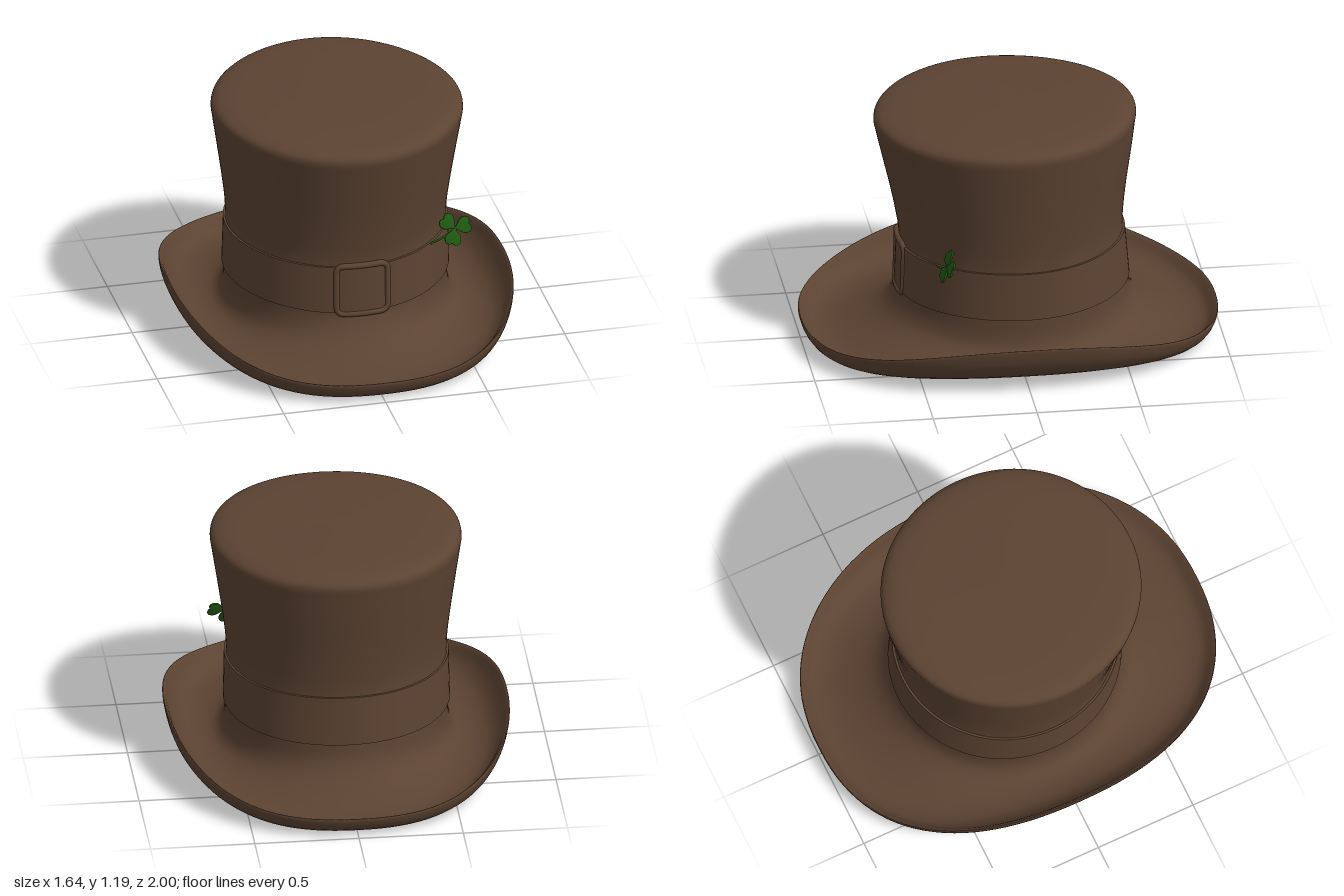
import * as THREE from 'three';
import { toCreasedNormals } from 'three/addons/utils/BufferGeometryUtils.js';

const SIDES = 112;

// Point on an oval ring at angle a (0 = front, PI/2 = left side).
function ringPoint(r, a) {
  const s = Math.sin(a), c = Math.cos(a);
  const bulge = (v) => Math.sign(v) * Math.abs(v) ** (2 / (2 + 0.25 * r.k));
  const x = r.rx * bulge(s);
  const z = (r.zf + r.zb) / 2 + ((r.zf - r.zb) / 2) * bulge(c);
  const end = (r.yF + r.yB) / 2 + ((r.yF - r.yB) / 2) * c;
  const y = end + (r.yS - end) * Math.abs(s) ** (2 + 1.5 * r.k);
  return new THREE.Vector3(x, y, z);
}

// Skin a list of rings; steps > 1 rounds the profile with a spline.
function loft(rings, steps) {
  const count = (rings.length - 1) * steps + 1;
  const pos = [], index = [];
  for (let j = 0; j < SIDES; j++) {
    const pts = rings.map((r) => ringPoint(r, (j / SIDES) * Math.PI * 2));
    const line = steps > 1 ? new THREE.CatmullRomCurve3(pts).getPoints(count - 1) : pts;
    line.forEach((p) => pos.push(p.x, p.y, p.z));
  }
  for (let j = 0; j < SIDES; j++) {
    const a = j * count, b = ((j + 1) % SIDES) * count;
    for (let i = 0; i < count - 1; i++) {
      index.push(a + i, a + i + 1, b + i, b + i, a + i + 1, b + i + 1);
    }
  }
  const geo = new THREE.BufferGeometry();
  geo.setAttribute('position', new THREE.Float32BufferAttribute(pos, 3));
  geo.setIndex(index);
  geo.computeVertexNormals();
  return geo;
}

// Crown ring: tilted slightly so the back is higher than the front.
const crownRing = ([rx, zf, zb, y, tilt]) =>
  ({ rx, zf, zb, yS: y, yF: y - tilt, yB: y + tilt, k: 0 });

// Brim ring: side height differs from front/back height.
const brimRing = ([rx, zf, zb, yS, yF]) =>
  ({ rx, zf, zb, yS, yF, yB: yF, k: THREE.MathUtils.clamp((rx - 0.54) / 0.26, 0, 1) });

function makeMesh(name, geo, mat) {
  const m = new THREE.Mesh(geo, mat);
  m.name = name;
  return m;
}

export function createModel() {
  const hat = new THREE.Group();
  hat.name = 'topHat';
  const felt = new THREE.MeshStandardMaterial({ color: 0x5c4332 });
  const green = new THREE.MeshStandardMaterial({ color: 0x1f5a12 });

  // Crown profile: half width, front z, back z, height, tilt
  const crown = [
    [0.0, 0.015, 0.015, 1.19, 0],
    [0.3, 0.33, -0.3, 1.183, 0.008],
    [0.5, 0.535, -0.505, 1.17, 0.014],
    [0.565, 0.605, -0.573, 1.156, 0.015],
    [0.593, 0.635, -0.603, 1.137, 0.015],
    [0.6, 0.643, -0.611, 1.112, 0.015],
    [0.595, 0.635, -0.606, 1.07, 0.015],
    [0.575, 0.605, -0.59, 0.94, 0.015],
    [0.55, 0.565, -0.566, 0.77, 0.015],
    [0.531, 0.535, -0.55, 0.62, 0.015],
    [0.526, 0.523, -0.546, 0.53, 0.015],
    [0.529, 0.529, -0.558, 0.38, 0.014],
    [0.531, 0.537, -0.572, 0.255, 0.01],
  ];
  // Brim profile: half width, front z, back z, side height, end height
  const brim = [
    [0.535, 0.55, -0.583, 0.18, 0.21],
    [0.552, 0.575, -0.607, 0.125, 0.168],
    [0.59, 0.625, -0.652, 0.092, 0.122],
    [0.66, 0.73, -0.745, 0.085, 0.07],
    [0.735, 0.85, -0.855, 0.118, 0.037],
    [0.785, 0.935, -0.94, 0.18, 0.05],
    [0.81, 0.985, -0.985, 0.237, 0.095],
    [0.82, 0.998, -0.998, 0.243, 0.104],
    [0.821, 1.0, -1.0, 0.226, 0.09],
    [0.8, 0.972, -0.972, 0.15, 0.035],
    [0.75, 0.9, -0.9, 0.082, 0.003],
    [0.66, 0.78, -0.785, 0.042, 0.014],
    [0.59, 0.66, -0.685, 0.052, 0.065],
    [0.54, 0.575, -0.6, 0.085, 0.125],
    [0.517, 0.533, -0.567, 0.15, 0.185],
  ];
  // Lining: the crown profile again, thinner and turned inward
  const lining = crown.map(([rx, zf, zb, y, t]) => [
    Math.max(0, rx - 0.02),
    rx ? zf - 0.02 : zf,
    rx ? zb + 0.02 : zb,
    y > 0.9 ? y - 0.02 : y,
    t,
  ]).reverse();
  const shell = [...crown.map(crownRing), ...brim.map(brimRing), ...lining.map(crownRing)];
  hat.add(makeMesh('crownAndBrim', loft(shell, 3), felt));

  // Hat band
  const band = [
    [0.522, 0.52, -0.545, 0.512, 0.014],
    [0.536, 0.535, -0.558, 0.512, 0.014],
    [0.541, 0.544, -0.579, 0.272, 0.012],
    [0.525, 0.53, -0.565, 0.272, 0.012],
  ].map(crownRing);
  hat.add(makeMesh('hatBand', toCreasedNormals(loft(band, 1), 0.6), felt));

  // Buckle: rounded square frame wrapped around the front of the band
  const h = 0.125, q = 0.085, frame = new THREE.Shape();
  for (let i = 0; i < 4; i++) {
    const turn = (x, y) => [[x, y], [-y, x], [-x, -y], [y, -x]][i];
    if (i === 0) frame.moveTo(...turn(h, -q));
    frame.lineTo(...turn(h, q));
    frame.quadraticCurveTo(...turn(h, h), ...turn(q, h));
  }
  frame.closePath();
  const path = frame.getSpacedPoints(72).slice(0, -1).map((p) =>
    new THREE.Vector3(p.x, p.y + 0.378, (0.535 - 0.03 * p.y) * Math.sqrt(1 - (p.x / 0.54) ** 2)));
  const loop = new THREE.CatmullRomCurve3(path, true);
  hat.add(makeMesh('buckle', new THREE.TubeGeometry(loop, 120, 0.015, 10, true), felt));

  // Clover: three heart-shaped leaves and a stem tucked behind the band
  const clover = new THREE.Group();
  clover.name = 'clover';
  const heart = new THREE.Shape();
  heart.moveTo(0, 0);
  heart.bezierCurveTo(0.012, 0.022, 0.038, 0.03, 0.038, 0.055);
  heart.bezierCurveTo(0.038, 0.083, 0.008, 0.084, 0, 0.067);
  heart.bezierCurveTo(-0.008, 0.084, -0.038, 0.083, -0.038, 0.055);
  heart.bezierCurveTo(-0.038, 0.03, -0.012, 0.022, 0, 0);
  const leafGeo = toCreasedNormals(new THREE.ExtrudeGeometry(heart, {
    depth: 0.004, bevelThickness: 0.003, bevelSize: 0.003, bevelSegments: 2, curveSegments: 10,
  }), 0.7);
  [135, 13, -105].forEach((deg) => {
    const leaf = makeMesh('leaf', leafGeo, green);
    leaf.rotation.z = THREE.MathUtils.degToRad(deg - 90);
    clover.add(leaf);
  });
  const stem = new THREE.QuadraticBezierCurve3(
    new THREE.Vector3(0, 0, 0.002), new THREE.Vector3(-0.04, -0.035, 0), new THREE.Vector3(-0.13, -0.06, 0));
  clover.add(makeMesh('stem', new THREE.TubeGeometry(stem, 12, 0.005, 8), green));
  clover.position.set(0.495, 0.556, 0.357);
  clover.rotation.set(-0.38, 0.1, 0);
  hat.add(clover);

  return hat;
}
